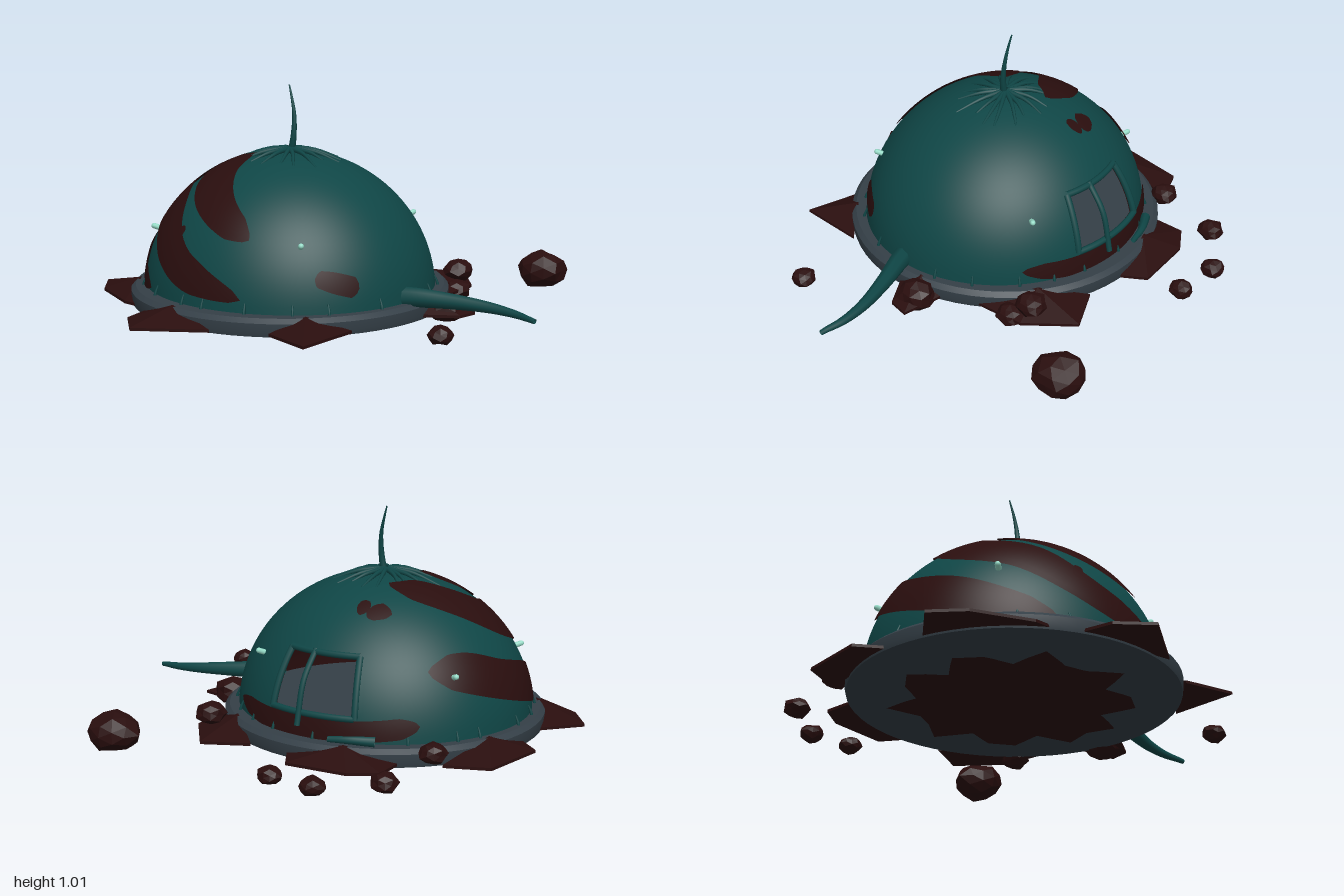
import * as THREE from 'three';
import { toCreasedNormals } from 'three/addons/utils/BufferGeometryUtils.js';
import { ConvexGeometry } from 'three/addons/geometries/ConvexGeometry.js';

const CX = -0.19, CZ = 0.07;
const V = (x, y, z) => new THREE.Vector3(x, y, z);

// Seeded random numbers
let seed = 7;
const rand = () => (seed = (seed * 16807) % 2147483647) / 2147483647;

// Point on the dome at azimuth a and elevation e (degrees), k scales outward
function onDome(a, e, k = 1) {
  const A = THREE.MathUtils.degToRad(a), E = THREE.MathUtils.degToRad(e);
  return V(CX + 0.64 * k * Math.cos(E) * Math.cos(A), 0.12 + 0.605 * k * Math.sin(E),
    CZ + 0.61 * k * Math.cos(E) * Math.sin(A));
}

// Surface from a grid of points, with optional closed first direction and skipped cells
function grid(nu, nv, point, closed = false, skip = () => false) {
  const pos = [], idx = [], cols = closed ? nu : nu + 1;
  for (let i = 0; i < cols; i++)
    for (let j = 0; j <= nv; j++) pos.push(...point(i, j).toArray());
  for (let i = 0; i < nu; i++)
    for (let j = 0; j < nv; j++) {
      if (skip(i, j)) continue;
      const n = (i + 1) % cols, a = i * (nv + 1) + j, b = n * (nv + 1) + j;
      idx.push(a, a + 1, b, b, a + 1, b + 1);
    }
  const g = new THREE.BufferGeometry();
  g.setAttribute('position', new THREE.Float32BufferAttribute(pos, 3));
  g.setIndex(idx);
  g.computeVertexNormals();
  return g;
}

// Painted band following [azimuth, elevation, half width] points
function stripe(points) {
  const curve = new THREE.CatmullRomCurve3(points.map(p => V(...p)));
  const n = 48;
  return grid(n, 6, (i, j) => {
    const t = i / n, p = curve.getPoint(t), d = curve.getTangent(t);
    const c = Math.max(0.2, Math.cos(p.y * Math.PI / 180));
    const da = d.x * c, l = Math.hypot(da, d.y) || 1;
    const w = p.z * (j / 3 - 1) * Math.min(1, Math.sqrt(Math.min(t, 1 - t) * 9));
    return onDome(p.x - d.y / l * w / c, Math.max(3, p.y + da / l * w), 1.013);
  });
}

// Tube narrowing from r0 to r1
function taper(points, r0, r1, n = 16) {
  const curve = new THREE.CatmullRomCurve3(points);
  const g = new THREE.TubeGeometry(curve, n, 1, 8), p = g.attributes.position, v = V(0, 0, 0);
  for (let i = 0; i < p.count; i++) {
    const t = Math.floor(i / 9) / n, c = curve.getPointAt(t);
    v.fromBufferAttribute(p, i).sub(c).multiplyScalar(r0 + (r1 - r0) * t).add(c);
    p.setXYZ(i, v.x, v.y, v.z);
  }
  return g;
}

// Faceted lump of earth
function rockGeometry(r) {
  const g = new THREE.IcosahedronGeometry(r, 1), p = g.attributes.position, v = V(0, 0, 0);
  const s = rand() * 9;
  for (let i = 0; i < p.count; i++) {
    v.fromBufferAttribute(p, i);
    const q = v.clone().divideScalar(r);
    v.multiplyScalar(1 + 0.13 * Math.sin(q.x * 5 + s) * Math.cos(q.z * 4 + q.y * 6 + s));
    p.setXYZ(i, v.x, v.y * 0.75, v.z);
  }
  g.computeVertexNormals();
  return g;
}

export function createModel() {
  const model = new THREE.Group();
  const mat = (name, color) => Object.assign(
    new THREE.MeshStandardMaterial({ color, side: THREE.DoubleSide }), { name });
  const teal = mat('teal', 0x0f4646), brown = mat('dark brown', 0x2a0e0e);
  const grey = mat('slate grey', 0x343f47), mint = mat('mint', 0x96dcc8);
  const add = (name, geo, m) => {
    const mesh = new THREE.Mesh(geo, m);
    mesh.name = name;
    model.add(mesh);
    return mesh;
  };

  // Dome with a window opening at the back, and its lining
  const opening = (i, j) => i >= 84 && i < 96 && j >= 3 && j < 11;
  for (const [name, k, m] of [['dome', 1, teal], ['domeLining', 0.975, brown]])
    add(name, grid(120, 29, (i, j) => onDome(i * 3, 3 + j * 3, k), true, opening), m);

  // Window frame and bar
  const arc = (a0, e0, a1, e1) => Array.from({ length: 7 }, (_, i) =>
    onDome(a0 + (a1 - a0) * i / 6, e0 + (e1 - e0) * i / 6, 1.005));
  for (const s of [[252, 12, 252, 36], [288, 12, 288, 36], [252, 36, 288, 36], [252, 12, 288, 12]])
    add('windowFrame', taper(arc(...s), 0.014, 0.014), teal);
  add('windowBar', taper([onDome(274, 37, 1.01), onDome(274, 24, 1.035), onDome(274, 7, 1.03)], 0.012, 0.012), teal);

  // Base plate
  const plate = new THREE.LatheGeometry([[0, 0.05], [0.45, 0.062], [0.685, 0.08], [0.69, 0.1],
    [0.69, 0.135], [0.67, 0.153], [0, 0.153]].map(p => new THREE.Vector2(...p)), 64);
  add('basePlate', toCreasedNormals(plate, 0.5), grey).position.set(CX, 0, CZ);

  // Swirling bands and spots
  const bands = [
    [[140, 77, 3], [130, 65, 9], [110, 53, 9], [90, 41, 7], [72, 31, 4.5]],
    [[237, 74, 4], [203, 67, 8], [183, 58, 9], [160, 45, 10], [132, 36, 10], [113, 23, 8], [100, 16, 7], [73, 8, 5.5]],
    [[223, 30, 5], [205, 28, 8], [185, 22, 8], [160, 15, 8], [140, 9, 6], [122, 5, 3]],
    [[228, 10, 4], [245, 8, 4], [270, 7, 4], [292, 7, 4], [312, 9, 3]],
  ];
  for (const b of bands) add('band', stripe(b), brown);
  const spots = [
    [[45, 17, 3], [38, 15, 4], [28, 12, 4]], [[109, 33, 1.5], [110, 29, 2], [112, 25, 1.5]],
    [[238, 58, 3], [245, 56, 4], [252, 53, 2]], [[256, 62, 1.5], [256, 58, 2.5], [257, 54, 1]],
  ];
  for (const s of spots) add('spot', stripe(s), brown);

  // Stalk, crown of roots and side root
  add('stalk', taper([V(CX + 0.005, 0.7, CZ), V(-0.17, 0.79, 0.068), V(-0.172, 0.88, 0.06),
    V(-0.188, 0.95, 0.055), V(-0.205, 1.005, 0.05)], 0.017, 0.003), teal);
  for (let i = 0; i < 18; i++) {
    const a = i * 20 + rand() * 10, e = 67 + rand() * 7;
    add('crownRoot', taper([onDome(a, 89, 1.012), onDome(a, 80, 1.012), onDome(a + 3, e, 0.997)], 0.012, 0.005, 8), teal);
  }
  add('sideRoot', taper([V(0.38, 0.17, 0.13), V(0.48, 0.175, 0.1), V(0.62, 0.17, 0.055), V(0.78, 0.16, 0.02),
    V(0.9, 0.15, 0.02), V(0.985, 0.142, 0.04), V(1, 0.14, 0.042)], 0.048, 0.011, 24), teal);

  // Sprouts around the foot of the dome
  for (let i = 0; i < 22; i++) {
    const a = i * 16.4 + rand() * 8;
    add('sprout', taper([onDome(a, 2, 1.02), onDome(a, 4, 1.015), onDome(a, 7, 1)], 0.008, 0.003, 4), teal);
  }
  add('fallenRoot', taper([V(-0.48, 0.17, -0.5), V(-0.39, 0.175, -0.545), V(-0.3, 0.17, -0.565)], 0.022, 0.012), teal);

  // Mint buds
  for (const [a, e] of [[143, 26], [50, 29], [212, 27], [307, 29]]) {
    const bud = add('bud', new THREE.CapsuleGeometry(0.012, 0.026, 4, 8), mint);
    bud.position.copy(onDome(a, e, 1.02));
    bud.quaternion.setFromUnitVectors(V(0, 1, 0), bud.position.clone().sub(V(CX, 0.2, CZ)).normalize());
  }

  // Broken ground shards: flat outlines sloping up to the plate
  const shards = [
    [-0.58, -0.5, -0.58, -0.63, -0.47, -0.7, -0.2, -0.72, -0.14, -0.62],
    [0.05, -0.6, 0.24, -0.69, 0.3, -0.56, 0.39, -0.5, 0.4, -0.28],
    [0.46, -0.13, 0.65, -0.09, 0.63, 0, 0.47, 0.09],
    [0.4, 0.45, 0.38, 0.75, 0.16, 0.68],
    [-0.07, 0.77, -0.19, 0.78, -0.35, 0.93, -0.47, 0.81, -0.49, 0.67],
    [-0.58, 0.62, -0.67, 0.61, -0.9, 0.49, -1, 0.36, -0.85, 0.2],
    [-0.86, 0.03, -0.97, -0.06, -0.92, -0.13, -0.92, -0.35, -0.74, -0.42],
  ];
  for (const s of shards) {
    const pts = [];
    let mx = 0, mz = 0;
    for (let i = 0; i < s.length; i += 2) {
      pts.push(V(s[i], 0.088, s[i + 1]), V(s[i], 0.1, s[i + 1]));
      mx += s[i] * 2 / s.length;
      mz += s[i + 1] * 2 / s.length;
    }
    const l = Math.hypot(mx - CX, mz - CZ);
    pts.push(V(CX + (mx - CX) / l * 0.66, 0.158, CZ + (mz - CZ) / l * 0.66));
    add('groundShard', new ConvexGeometry(pts), brown);
  }

  // Jagged clod of earth underneath
  const clod = grid(26, 2, (i, j) => {
    const a = i / 26 * Math.PI * 2, r = [0, 0.26, 0.46 + 0.07 * Math.sin(i * 2.3)][j];
    return V(CX + r * Math.cos(a), [0, 0.025, 0.062][j], CZ + r * Math.sin(a));
  }, true).toNonIndexed();
  clod.computeVertexNormals();
  add('clod', clod, brown);

  // Scattered rocks: x, y, z, radius
  const rocks = [[0.56, 0.13, -0.84, 0.11], [-0.23, 0.1, -0.87, 0.05], [-0.44, 0.1, -0.89, 0.052],
    [-0.66, 0.11, -0.73, 0.056], [0.77, 0.125, 0.38, 0.052], [-0.71, 0.15, -0.44, 0.058],
    [0.32, 0.16, -0.5, 0.065], [0.53, 0.11, -0.05, 0.08], [0.36, 0.09, -0.42, 0.06]];
  for (const [x, y, z, r] of rocks) add('rock', rockGeometry(r), brown).position.set(x, y, z);

  return model;
}
